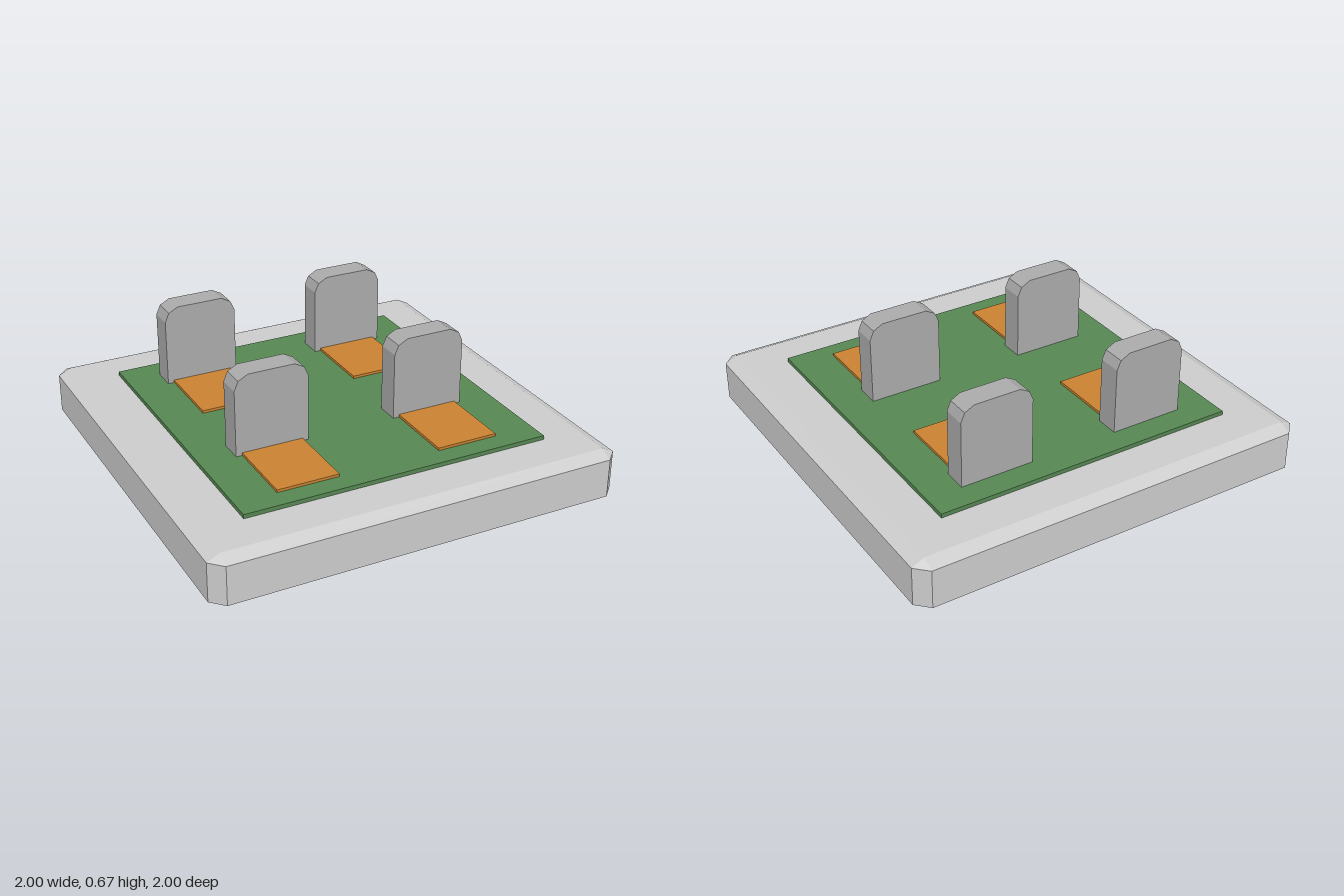
import * as THREE from 'three';
import { ConvexGeometry } from 'three/addons/geometries/ConvexGeometry.js';

const mat = (color) => new THREE.MeshStandardMaterial({ color, flatShading: true });

// Box given by its min and max corners
function box(name, min, max, material) {
  const size = max.map((v, i) => v - min[i]);
  const mesh = new THREE.Mesh(new THREE.BoxGeometry(...size), material);
  mesh.position.set(...max.map((v, i) => (v + min[i]) / 2));
  mesh.name = name;
  return mesh;
}

// Box chamfered on every edge: half sizes h, chamfer c per axis
function chamferedBox(h, c) {
  const points = [];
  for (const sx of [-1, 1]) for (const sy of [-1, 1]) for (const sz of [-1, 1]) {
    const s = [sx, sy, sz];
    for (let axis = 0; axis < 3; axis++) {
      points.push(new THREE.Vector3(...h.map((v, i) => s[i] * (i === axis ? v : v - c[i]))));
    }
  }
  return new ConvexGeometry(points);
}

// Upright slab with faceted shoulders, standing on y = 0, back at z = 0
function headstoneGeometry() {
  const half = [[0.18, 0], [0.18, 0.325], [0.16, 0.37], [0.113, 0.395]];
  const outline = [...half, ...half.map(([x, y]) => [-x, y]).reverse()];
  const shape = new THREE.Shape(outline.map(([x, y]) => new THREE.Vector2(x, y)));
  return new THREE.ExtrudeGeometry(shape, { depth: 0.115, bevelEnabled: false });
}

export function createModel() {
  const model = new THREE.Group();
  model.name = 'graveyardTile';

  // Chamfered base tile
  const base = new THREE.Mesh(chamferedBox([1, 0.125, 1], [0.06, 0.03, 0.06]), mat(0xcccccc));
  base.position.y = 0.125;
  base.name = 'base';
  model.add(base);

  // Lawn on top of the base
  model.add(box('grass', [-0.75, 0.24, -0.75], [0.75, 0.27, 0.75], mat(0x558652)));

  // Four graves: a headstone with an earth plot in front
  const stoneMat = mat(0xaaaaaa);
  const earthMat = mat(0xc98231);
  const stoneGeometry = headstoneGeometry();
  for (const x of [-0.4, 0.4]) for (const z of [-0.63, 0.178]) {
    const grave = new THREE.Group();
    grave.name = 'grave';
    grave.position.set(x, 0.27, z);
    const stone = new THREE.Mesh(stoneGeometry, stoneMat);
    stone.name = 'headstone';
    grave.add(stone, box('earthPlot', [-0.15, -0.01, 0.1], [0.15, 0.013, 0.475], earthMat));
    model.add(grave);
  }
  return model;
}
